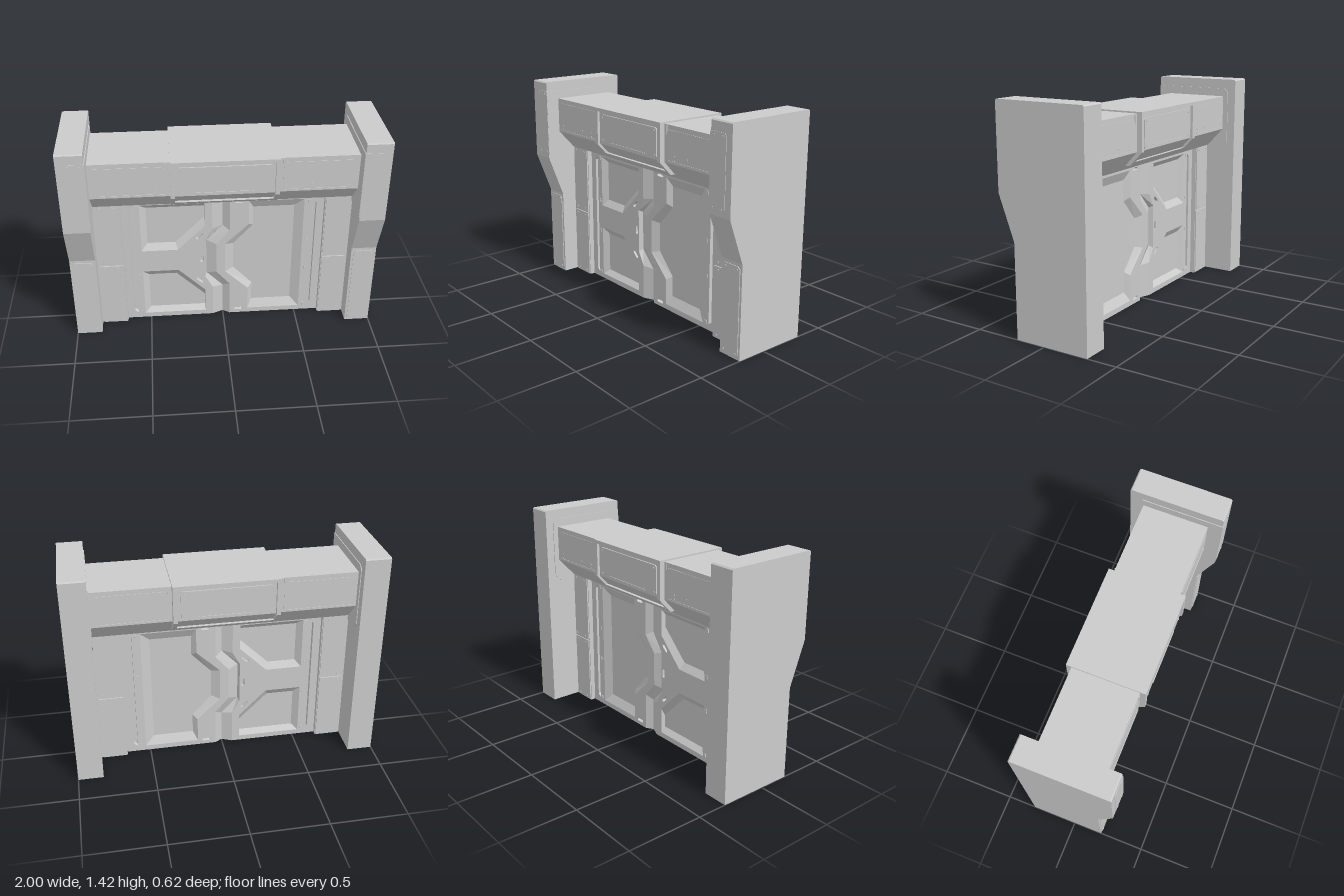
import * as THREE from 'three';

const grey = new THREE.MeshStandardMaterial({ color: 0xcccccc, flatShading: true });
const sheet = new THREE.MeshStandardMaterial({ color: 0xcccccc, flatShading: true, side: THREE.DoubleSide });

const DOOR_Z = 0.06, FLOOR_Z = 0.03, DOOR_TOP = 0.945;

function add(group, name, geometry, material = grey) {
  const mesh = new THREE.Mesh(geometry, material);
  mesh.name = name;
  group.add(mesh);
  return mesh;
}

const toShape = (pts) => new THREE.Shape(pts.map(([x, y]) => new THREE.Vector2(x, y)));

function box(group, name, x0, x1, y0, y1, z0, z1) {
  const g = new THREE.BoxGeometry(x1 - x0, y1 - y0, z1 - z0);
  add(group, name, g.translate((x0 + x1) / 2, (y0 + y1) / 2, (z0 + z1) / 2));
}

// Extrudes a [z, y] profile along x
function extrudeX(group, name, profile, x0, x1) {
  const g = new THREE.ExtrudeGeometry(toShape(profile), { depth: x1 - x0, bevelEnabled: false });
  add(group, name, g.rotateY(-Math.PI / 2).translate(x1, 0, 0));
}

// Thin plate with clipped corners on a front-facing surface
function plate(group, name, x0, x1, y0, y1, z, t = 0.005, c = 0.015) {
  const s = toShape([[x0 + c, y0], [x1 - c, y0], [x1, y0 + c], [x1, y1 - c],
    [x1 - c, y1], [x0 + c, y1], [x0, y1 - c], [x0, y0 + c]]);
  add(group, name, new THREE.ExtrudeGeometry(s, { depth: t, bevelEnabled: false }).translate(0, 0, z));
}

function screws(group, xs, ys, z) {
  for (const x of xs) for (const y of ys) {
    const g = new THREE.CylinderGeometry(0.007, 0.007, 0.008, 8);
    add(group, 'screw', g.rotateX(Math.PI / 2).translate(x, y, z));
  }
}

// Sloped band joining two outlines at different depths
function band(group, name, a, za, b, zb, closed = true) {
  const pos = [], index = [], n = a.length;
  for (let i = 0; i < n; i++) pos.push(...a[i], za, ...b[i], zb);
  for (let i = 0; i < (closed ? n : n - 1); i++) {
    const p = 2 * i, q = 2 * ((i + 1) % n);
    index.push(p, q, p + 1, q, q + 1, p + 1);
  }
  const g = new THREE.BufferGeometry();
  g.setAttribute('position', new THREE.Float32BufferAttribute(pos, 3));
  g.setIndex(index);
  g.computeVertexNormals();
  add(group, name, g, sheet);
}

// Small slot outline with rounded ends
function pill(cx, cy, angle, length = 0.06, r = 0.01) {
  const pts = [], c = Math.cos(angle), s = Math.sin(angle);
  for (let i = 0; i < 10; i++) {
    const end = i < 5 ? 1 : -1;
    const t = -Math.PI / 2 + (i < 5 ? i : i - 1) * Math.PI / 4;
    const x = end * (length / 2 - r) + r * Math.cos(t), y = r * Math.sin(t);
    pts.push([cx + x * c - y * s, cy + x * s + y * c]);
  }
  return pts;
}

const flipY = (pts) => pts.map(([x, y]) => [x, DOOR_TOP - y]);

function leaf(group, name, outline, holes) {
  const s = toShape(outline);
  for (const h of holes) s.holes.push(new THREE.Path(h.map(([x, y]) => new THREE.Vector2(x, y))));
  add(group, name, new THREE.ExtrudeGeometry(s, { depth: DOOR_Z, bevelEnabled: false }));
}

// One face of the door, looking along -z
function doorFace() {
  const face = new THREE.Group();
  face.name = 'doorFace';

  // Zigzag valley between the two leaves
  const seam = [[0, DOOR_TOP], [0, 0.72], [-0.11, 0.605], [-0.11, 0.34], [0, 0.225], [0, 0]];
  const left = [[-0.07, DOOR_TOP], [-0.07, 0.71], [-0.12, 0.62], [-0.12, 0.325], [-0.07, 0.235], [-0.07, 0]];
  const right = [[0.045, DOOR_TOP], [0.045, 0.69], [-0.045, 0.585], [-0.045, 0.36], [0.045, 0.255], [0.045, 0]];
  band(face, 'seamLeftSlope', left, DOOR_Z, seam, FLOOR_Z, false);
  band(face, 'seamRightSlope', seam, FLOOR_Z, right, DOOR_Z, false);

  // Left leaf: two mirrored recesses
  const cutOut = [[-0.54, 0.91], [-0.12, 0.91], [-0.12, 0.735], [-0.30, 0.555], [-0.54, 0.555]];
  const cutIn = [[-0.50, 0.875], [-0.122, 0.875], [-0.122, 0.79], [-0.315, 0.60], [-0.50, 0.60]];
  const slit = [[0.585, 0.04], [0.61, 0.06], [0.61, 0.88], [0.585, 0.905]];
  const slitLeft = slit.map(([x, y]) => [-x, y]);
  band(face, 'upperRecessBevel', cutOut, DOOR_Z, cutIn, FLOOR_Z);
  band(face, 'lowerRecessBevel', flipY(cutOut), DOOR_Z, flipY(cutIn), FLOOR_Z);
  leaf(face, 'leftLeaf', [[-0.67, 0], ...left.slice().reverse(), [-0.67, DOOR_TOP]],
    [cutOut, flipY(cutOut), slitLeft, pill(-0.155, 0.655, Math.PI / 4),
      pill(-0.142, 0.475, Math.PI / 2), pill(-0.155, 0.295, -Math.PI / 4)]);

  // Right leaf: one large recess
  const bigOut = [[0.17, 0.91], [0.53, 0.91], [0.53, 0.035], [0.17, 0.035],
    [0.17, 0.21], [0.015, 0.36], [0.015, 0.585], [0.17, 0.735]];
  const bigIn = [[0.20, 0.85], [0.47, 0.85], [0.47, 0.095], [0.20, 0.095],
    [0.20, 0.235], [0.07, 0.375], [0.07, 0.57], [0.20, 0.71]];
  band(face, 'largeRecessBevel', bigOut, DOOR_Z, bigIn, FLOOR_Z);
  leaf(face, 'rightLeaf', [[0.67, 0], [0.67, DOOR_TOP], ...right],
    [bigOut, slit, pill(0.108, 0.91, 0), pill(0.108, 0.035, 0)]);

  // Small clips beside the slits
  for (const s of [-1, 1]) for (const y of [0.05, 0.36, 0.59, 0.895])
    box(face, 'clip', s * 0.56 - 0.006, s * 0.56 + 0.006, y - 0.012, y + 0.012, DOOR_Z - 0.005, DOOR_Z + 0.005);
  return face;
}

// Details shared by both faces of the frame (+x half)
function frameFace() {
  const g = new THREE.Group();
  g.name = 'frameFace';
  for (const [y0, y1] of [[0.004, 0.472], [0.479, 0.94]]) {
    box(g, 'innerPostPlate', 0.665, 0.82, y0, y1, 0.09, 0.1);
    screws(g, [0.70, 0.79], [y0 + 0.02, y1 - 0.02], 0.1);
  }
  plate(g, 'lintelPlate', 0.36, 0.81, 1.075, 1.27, 0.215, 0.003);
  box(g, 'lintelStrip', 0.37, 0.80, 1.078, 1.083, 0.215, 0.221);
  box(g, 'lintelTab', 0.355, 0.36, 1.24, 1.295, 0.215, 0.221);
  screws(g, [0.43, 0.77], [1.09, 1.115], 0.217);
  screws(g, [0.54], [1.115], 0.217);
  return g;
}

// Outer pillar and inner post (+x half)
function sideFrame() {
  const g = new THREE.Group();
  g.name = 'sideFrame';
  extrudeX(g, 'outerPillar', [[-0.305, 0], [0.2, 0], [0.2, 0.6], [0.305, 0.88], [0.305, 1.412],
    [0.297, 1.42], [-0.297, 1.42], [-0.305, 1.412]], 0.835, 1);
  box(g, 'innerPost', 0.66, 0.84, 0, 0.95, -0.092, 0.092);
  plate(g, 'lowerPillarPlate', 0.85, 0.985, 0.015, 0.58, 0.2);
  screws(g, [0.87, 0.965], [0.035, 0.56], 0.204);
  // Plate wrapping from the pillar's front onto its inner side
  plate(g, 'upperPillarPlate', 0.831, 0.955, 0.905, 1.355, 0.303, 0.005, 0.012);
  extrudeX(g, 'innerSidePlate', [[-0.2, 0.905], [0.306, 0.905], [0.306, 1.355], [-0.225, 1.355],
    [-0.25, 1.33], [-0.25, 0.955]], 0.83, 0.836);
  screws(g, [0.86, 0.93], [0.925, 1.335], 0.307);
  const front = frameFace(), back = frameFace();
  back.scale.z = -1;
  g.add(front, back);
  return g;
}

// Lintel with its raised centre housing
function lintel() {
  const g = new THREE.Group();
  g.name = 'lintel';
  const mirrorZ = (half) => [...half, ...half.map(([z, y]) => [-z, y]).reverse()];
  extrudeX(g, 'lintelBeam', mirrorZ([[0.215, 1.3], [0.215, 1.065], [0.1, 0.94]]), -0.84, 0.84);
  const rim = mirrorZ([[0.25, 1.31], [0.25, 1.065], [0.165, 0.975]]);
  extrudeX(g, 'housingRim', rim, 0.308, 0.335);
  extrudeX(g, 'housingRim', rim, -0.335, -0.308);
  extrudeX(g, 'housingCore', mirrorZ([[0.232, 1.3], [0.232, 1.07], [0.146, 0.978]]), -0.31, 0.31);
  box(g, 'housingTop', -0.309, 0.309, 1.288, 1.31, -0.25, 0.25);
  extrudeX(g, 'housingBottomLip', mirrorZ([[0.189, 1.0], [0.165, 0.975]]), -0.309, 0.309);
  for (const s of [1, -1]) {
    const face = new THREE.Group();
    face.name = 'housingFace';
    plate(face, 'housingPanel', -0.285, 0.285, 1.08, 1.27, 0.232, 0.008, 0.01);
    box(face, 'housingStrip', -0.18, 0.18, 1.09, 1.097, 0.238, 0.244);
    screws(face, [-0.265, 0.265], [1.1, 1.25], 0.24);
    face.scale.z = s;
    g.add(face);
  }
  return g;
}

export function createModel() {
  const model = new THREE.Group();
  model.name = 'gate';

  // Door core forms the floor of every recess
  const door = new THREE.Group();
  door.name = 'door';
  box(door, 'doorCore', -0.67, 0.67, 0, DOOR_TOP, -FLOOR_Z, FLOOR_Z);
  const front = doorFace(), back = doorFace();
  back.scale.z = -1;
  door.add(front, back);

  const leftFrame = sideFrame(), rightFrame = sideFrame();
  rightFrame.scale.x = -1;
  model.add(door, leftFrame, rightFrame, lintel());
  return model;
}
